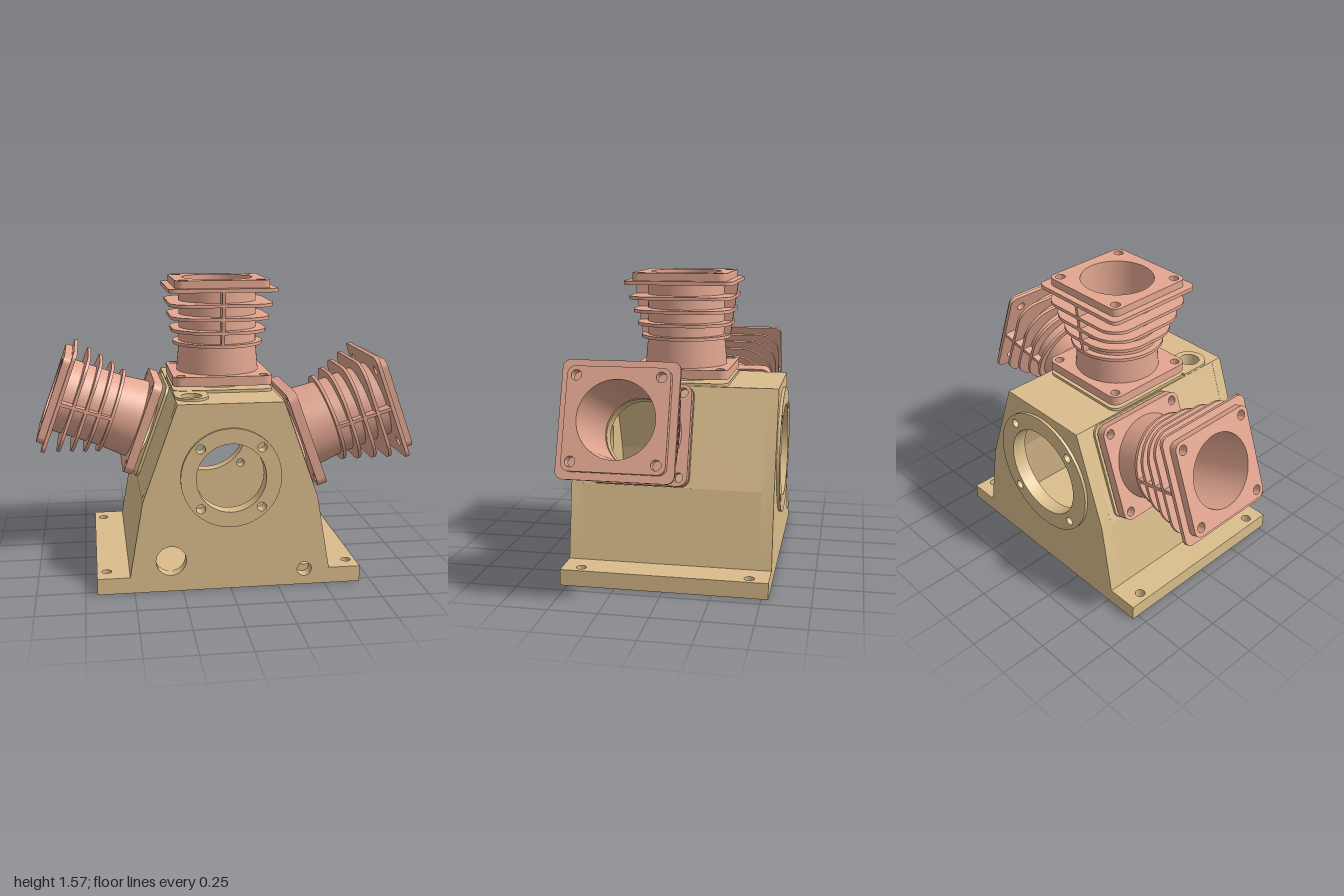
import * as THREE from 'three';
import { toCreasedNormals } from 'three/addons/utils/BufferGeometryUtils.js';

const caseMat = new THREE.MeshStandardMaterial({ color: 0xdabd8c });
const jugMat = new THREE.MeshStandardMaterial({ color: 0xe3a791 });
const AXIS_Y = 0.6;   // height of the crankshaft axis
const WALL = 0.065, HALF_Z = 0.535, IN_Z = HALF_Z - WALL;

function add(parent, name, geo, mat) {
  const mesh = new THREE.Mesh(toCreasedNormals(geo, 0.5), mat);
  mesh.name = name;
  parent.add(mesh);
  return mesh;
}

function punch(shape, holes) {
  for (const [x, y, r] of holes) shape.holes.push(new THREE.Path().absarc(x, y, r, 0, Math.PI * 2, true));
  return shape;
}

const polygon = pts => new THREE.Shape(pts.map(p => new THREE.Vector2(...p)));
const disc = (x, y, r) => new THREE.Shape().absarc(x, y, r, 0, Math.PI * 2, false);
const corners = (a, b, r) => [[a, b, r], [-a, b, r], [-a, -b, r], [a, -b, r]];

function roundRect(w, h, r) {
  const s = new THREE.Shape(), q = Math.PI / 2;
  s.absarc(w - r, h - r, r, 0, q, false);
  s.absarc(r - w, h - r, r, q, 2 * q, false);
  s.absarc(r - w, r - h, r, 2 * q, 3 * q, false);
  s.absarc(w - r, r - h, r, 3 * q, 4 * q, false);
  s.closePath();
  return s;
}

// Extrusion along z from z0 to z1
function extrudeZ(shape, z0, z1) {
  return new THREE.ExtrudeGeometry(shape, { depth: z1 - z0, bevelEnabled: false, curveSegments: 20 }).translate(0, 0, z0);
}
// Horizontal plate from y0 to y1; shape y becomes -z
const plate = (shape, y0, y1) => extrudeZ(shape, y0, y1).rotateX(-Math.PI / 2);

// One finned cylinder, its axis along local y, measured from the crank axis
function createCylinder() {
  const g = new THREE.Group();
  g.name = 'cylinder';
  const barrel = [[0.19, 0.42], [0.222, 0.42], [0.224, 0.47], [0.21, 0.62], [0.21, 0.97], [0.19, 0.97], [0.19, 0.42]];
  add(g, 'barrel', new THREE.LatheGeometry(barrel.map(p => new THREE.Vector2(...p)), 64), jugMat);
  const bore = [0, 0, 0.205];
  add(g, 'baseFlange', plate(punch(roundRect(0.265, 0.265, 0.05), [bore, ...corners(0.22, 0.22, 0.024)]), 0.42, 0.47), jugMat);
  const headHoles = [bore, ...corners(0.205, 0.205, 0.025)];
  add(g, 'headPlate', plate(punch(roundRect(0.287, 0.287, 0.04), headHoles), 0.91, 0.93), jugMat);
  add(g, 'headBlock', plate(punch(roundRect(0.25, 0.25, 0.04), headHoles), 0.93, 0.97), jugMat);
  // Cooling fins grow from round to nearly square
  for (let i = 0; i < 4; i++) {
    const half = 0.243 + i * 0.011, y = 0.615 + i * 0.072;
    add(g, 'coolingFin', plate(punch(roundRect(half, half, 0.238 - i * 0.042), [bore]), y, y + 0.017), jugMat);
  }
  // Tapered ribs on both faces
  const rib = polygon([[0.2, 0.615], [0.242, 0.615], [0.284, 0.91], [0.2, 0.91]]);
  for (const side of [1, -1]) {
    add(g, 'finRib', extrudeZ(rib, -0.009, 0.009).rotateY(-side * Math.PI / 2), jugMat);
  }
  return g;
}

// Case wall and mounting pad under one cylinder
function createBank(tilt, zOff, half, extraHoles) {
  const g = new THREE.Group();
  g.name = 'cylinderBank';
  g.position.y = AXIS_Y;
  g.rotation.z = -tilt;
  const bore = [0, -zOff, 0.19];
  const wall = polygon([[-half, -IN_Z], [half, -IN_Z], [half, IN_Z], [-half, IN_Z]]);
  add(g, 'caseWall', plate(punch(wall, [bore, ...extraHoles]), 0.385 - WALL, 0.385), caseMat);
  const pad = add(g, 'mountingPad', plate(punch(roundRect(0.265, 0.265, 0.05), [[0, 0, 0.19]]), 0.385, 0.4), caseMat);
  pad.position.z = zOff;
  const cylinder = createCylinder();
  cylinder.position.z = zOff;
  g.add(cylinder);
  return g;
}

// Full front outline with the base feet
function endOutline() {
  const right = [[0.69, 0], [0.69, 0.085], [0.522, 0.085], [0.453, 0.48], [0.271, 0.985]];
  return polygon([...right, ...right.map(([x, y]) => [-x, y]).reverse()]);
}

// Raised bearing ring and end wall around the crank opening
function createEnd(name, sign, holeR, ringR, boltAt, extraHoles) {
  const g = new THREE.Group();
  g.name = name;
  const holes = [[0, AXIS_Y, holeR], ...corners(boltAt, boltAt, 0.024).map(([x, y, r]) => [x, y + AXIS_Y, r])];
  const zs = (a, b) => sign > 0 ? [a, b] : [-b, -a];
  add(g, 'endWall', extrudeZ(punch(endOutline(), [...holes, ...extraHoles]), ...zs(IN_Z, HALF_Z)), caseMat);
  add(g, 'bearingRing', extrudeZ(punch(disc(0, AXIS_Y, ringR), holes), ...zs(HALF_Z, 0.551)), caseMat);
  return g;
}

export function createModel() {
  const model = new THREE.Group();
  model.name = 'radialCompressor';

  const crankcase = new THREE.Group();
  crankcase.name = 'crankcase';
  model.add(crankcase);
  crankcase.add(
    createEnd('frontEnd', 1, 0.18, 0.26, 0.157, [[-0.31, 0.165, 0.078], [0.39, 0.085, 0.038]]),
    createEnd('backEnd', -1, 0.25, 0.345, 0.212, [])
  );

  // Base plate with four bolt holes
  const base = polygon([[-0.69, -IN_Z], [0.69, -IN_Z], [0.69, IN_Z], [-0.69, IN_Z]]);
  add(crankcase, 'basePlate', plate(punch(base, corners(0.64, 0.435, 0.026)), 0, 0.085), caseMat);

  // Lower side walls
  for (const s of [1, -1]) {
    const pts = [[0.453, 0.48], [0.385, 0.48], [0.452, 0.085], [0.522, 0.085]].map(([x, y]) => [x * s, y]);
    add(crankcase, 'lowerSideWall', extrudeZ(polygon(pts), -IN_Z, IN_Z), caseMat);
  }

  // Filler boss beside the top pad
  const boss = new THREE.Shape();
  boss.moveTo(-0.27, -0.25);
  boss.lineTo(-0.27, -0.38);
  boss.absarc(-0.183, -0.38, 0.087, Math.PI, Math.PI * 2, false);
  boss.lineTo(-0.096, -0.25);
  boss.closePath();
  add(crankcase, 'fillerBoss', plate(punch(boss, [[-0.183, -0.38, 0.054]]), 0.985, 0.998), caseMat);

  // Three banks in a fan, staggered along the crank
  const fan = THREE.MathUtils.degToRad(70);
  model.add(
    createBank(0, 0, 0.271, [[-0.183, -0.38, 0.054]]),
    createBank(fan, 0.17, 0.268, []),
    createBank(-fan, -0.17, 0.268, [])
  );
  return model;
}
